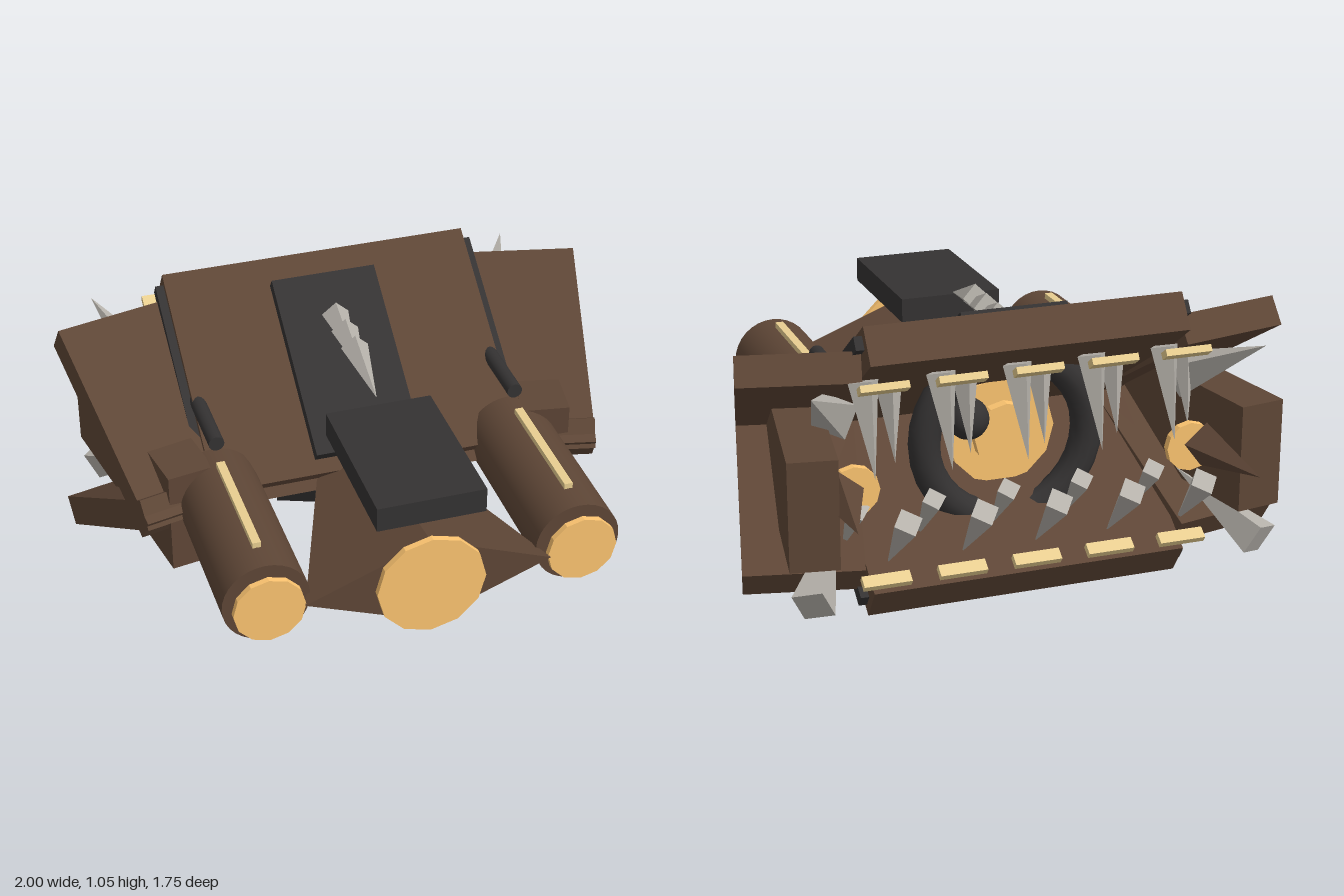
import * as THREE from 'three';

const mat = (color) => new THREE.MeshStandardMaterial({ color, flatShading: true });

export function createModel() {
  const root = new THREE.Group();
  const brown = mat(0x5e4636), dark = mat(0x343232), bone = mat(0xb6b2ab);
  const gold = mat(0xfcc470), brass = mat(0xe8ce90);
  const smoothBrown = new THREE.MeshStandardMaterial({ color: 0x5e4636 });
  const smoothDark = new THREE.MeshStandardMaterial({ color: 0x343232 });
  const MID = 0.53; // height of the hinge line
  const PITCH = 0.61; // opening angle of each jaw

  const add = (name, geo, material, x, y, z, rx = 0, ry = 0) => {
    const m = new THREE.Mesh(geo, material);
    m.name = name;
    m.position.set(x, y, z);
    m.rotation.set(rx, ry, 0, 'YXZ');
    root.add(m);
    return m;
  };
  const box = (name, material, size, pos, rx, ry) =>
    add(name, new THREE.BoxGeometry(...size), material, ...pos, rx, ry);

  // Pointed cone from a base centre to a tip
  const spike = (name, material, base, tip, r, sides = 4) => {
    const a = new THREE.Vector3(...base), b = new THREE.Vector3(...tip);
    const d = b.clone().sub(a);
    const m = add(name, new THREE.ConeGeometry(r, d.length(), sides), material, 0, 0, 0);
    m.position.copy(a).add(b).multiplyScalar(0.5);
    m.quaternion.setFromUnitVectors(new THREE.Vector3(0, 1, 0), d.normalize());
  };
  // Round part lying along z
  const drum = (name, material, r, z0, z1, x, y, sides) => {
    const g = new THREE.CylinderGeometry(r, r, z1 - z0, sides).rotateX(Math.PI / 2);
    add(name, g, material, x, y, (z0 + z1) / 2);
  };

  // Upper (s = 1) and lower (s = -1) jaws
  for (const s of [1, -1]) {
    const Y = (y) => MID + s * (y - MID);
    const word = s > 0 ? 'upper' : 'lower';
    box(word + 'JawPlate', brown, [1.15, 0.14, 0.855], [0, Y(0.752), -0.19], s * PITCH);
    box(word + 'JawPanel', dark, [0.39, 0.08, 0.69], [0, Y(0.797), -0.125], s * PITCH);
    for (const x of [-0.58, 0.58]) {
      box(word + 'JawRail', dark, [0.05, 0.05, 0.76], [x, Y(0.78), -0.19], s * PITCH);
    }
    // Flared side wings
    for (const k of [1, -1]) {
      box(word + 'Wing', brown, [0.42, 0.11, 0.8], [k * 0.712, Y(0.706), -0.125], s * 0.55, -k * 0.225);
    }
    // Brass gum blocks along the lip, with two rows of teeth
    for (let i = -2; i <= 2; i++) {
      const x = i * 0.272;
      box(word + 'GumBlock', brass, [0.17, 0.025, 0.045], [x, Y(0.875), -0.62], s * PITCH);
      if (s > 0) {
        spike('upperTooth', bone, [x + 0.04, 0.87, -0.52], [x + 0.03, 0.55, -0.61], 0.058);
        spike('upperInnerTooth', bone, [x - 0.08, 0.8, -0.42], [x - 0.08, 0.55, -0.48], 0.045);
      } else {
        spike('lowerTooth', bone, [x - 0.07, 0.4, -0.65], [x - 0.05, 0.18, -0.47], 0.055);
        spike('lowerInnerTooth', bone, [x + 0.07, 0.42, -0.53], [x + 0.08, 0.21, -0.36], 0.045);
      }
    }
  }

  // Overlapping spines on both jaws
  for (let i = 0; i < 3; i++) {
    const u = -0.117 * i, l = -0.155 * i;
    spike('upperSpine', bone, [0, 0.945, u], [0, 0.89, u + 0.26], 0.05);
    spike('lowerSpine', bone, [0, 0.165, 0.27 + l], [0, 0.115, 0.02 + l], 0.05);
  }

  // Diamond-section nose, widening to the front
  const nose = new THREE.CylinderGeometry(1, 0.45, 0.67, 4).rotateX(Math.PI / 2);
  nose.scale(0.435, 0.17, 1);
  add('nose', nose, brown, 0, MID, 0.515);
  drum('noseDisc', gold, 0.192, 0.85, 0.873, 0, MID, 12);
  box('floatingBlock', dark, [0.38, 0.09, 0.575], [0, 0.83, 0.567]);

  for (const k of [1, -1]) {
    // Forward barrels with brass strips and dark pods
    const x = k * 0.553;
    drum('barrel', smoothBrown, 0.152, 0.1, 0.793, x, MID, 32);
    drum('barrelDisc', gold, 0.125, 0.818, 0.84, x, MID, 12);
    box('barrelStrip', brass, [0.03, 0.03, 0.48], [x, 0.687, 0.45]);
    drum('pod', smoothDark, 0.028, -0.14, 0.165, x, 0.747, 16);

    // Cheek blocks with rear horn
    box('cheekBlock', brown, [0.17, 0.39, 0.915], [k * 0.735, 0.483, -0.237], 0, -k * 0.165);
    spike('horn', brown, [k * 0.67, 0.485, -0.52], [k * 0.715, 0.485, -0.875], 0.08);
    // Corner fangs
    spike('upperFang', bone, [k * 0.64, 0.7, -0.365], [k * 0.81, 0.89, -0.69], 0.088);
    spike('lowerFang', bone, [k * 0.82, 0.165, -0.69], [k * 0.64, 0.34, -0.36], 0.08);
    drum('cheekLamp', gold, 0.09, -0.52, -0.49, k * 0.62, 0.48, 12);
  }

  // Throat ring with glowing discs and a dark eye
  add('throatRing', new THREE.TorusGeometry(0.305, 0.058, 12, 32), smoothDark, 0, MID, -0.31);
  drum('throatDisc', gold, 0.2, -0.26, -0.22, 0, MID, 12);
  drum('throatInnerDisc', gold, 0.12, -0.32, -0.28, 0, MID, 12);
  add('throatEye', new THREE.SphereGeometry(0.075, 16, 12), smoothDark, 0.16, MID + 0.1, -0.36);
  return root;
}
